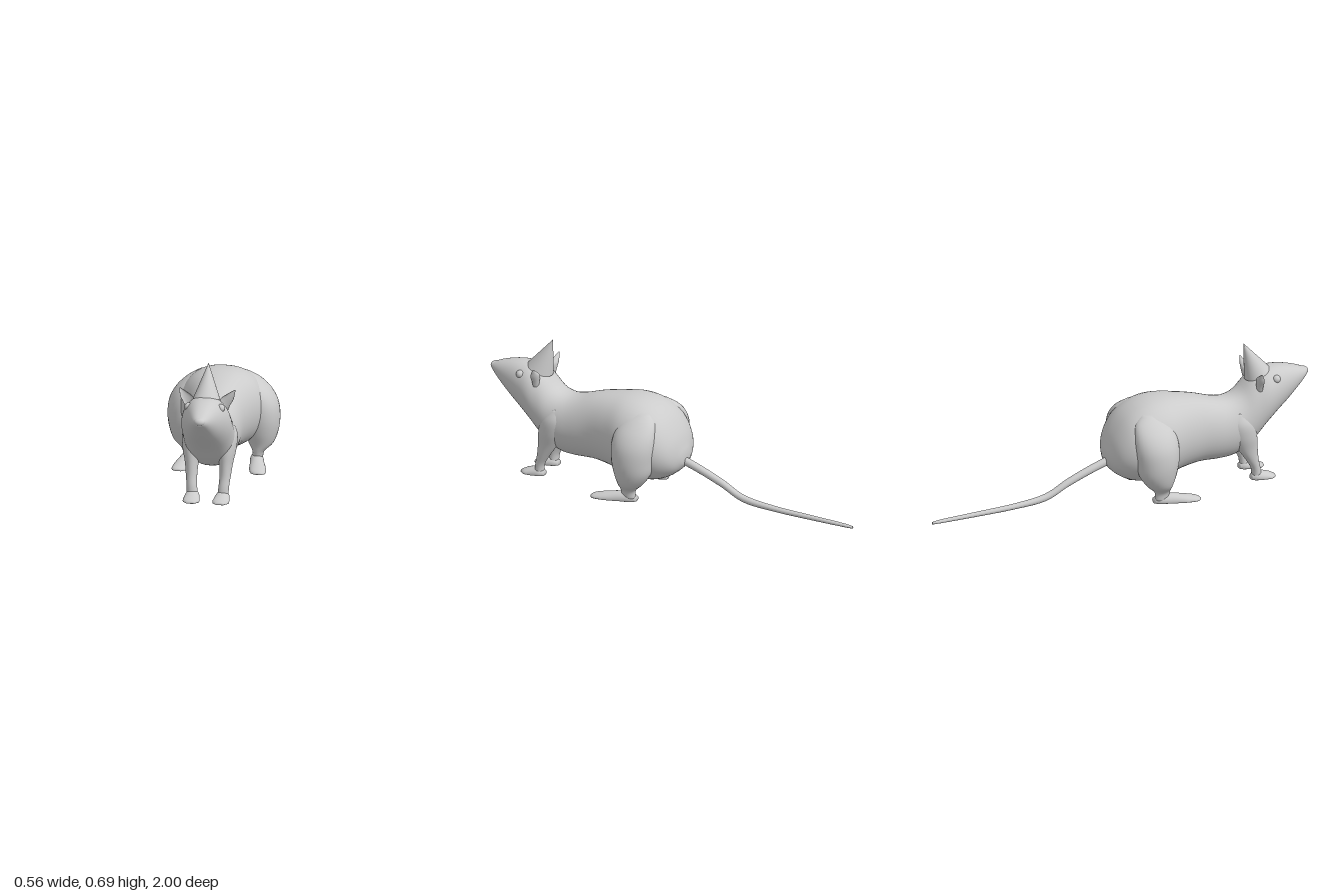
import * as THREE from 'three';

const material = new THREE.MeshStandardMaterial({ color: 0xcccccc, side: THREE.DoubleSide });

const round = (c, s) => [c, s];
const squarish = (c, s) => [Math.sign(c) * Math.abs(c) ** 0.85, s];
// closed back, hollow front
const cupped = (c, s) => [c, s > 0 ? s : -0.45 * s];

// Smooth skin over rows of [x, y, z, halfWidth, halfDepth].
// axis 'z': rings lie in xy and rows run toward +z; axis 'y': rings lie in xz and rows run upward.
function loft(rows, { axis = 'z', steps = 40, sides = 28, shape = round, floor = false } = {}) {
  const centres = new THREE.CatmullRomCurve3(rows.map(r => new THREE.Vector3(r[0], r[1], r[2])), false, 'catmullrom');
  const radii = new THREE.CatmullRomCurve3(rows.map(r => new THREE.Vector3(r[3], r[4], 0)), false, 'catmullrom');
  const positions = [], index = [];
  for (let i = -1; i <= steps + 1; i++) {
    const t = Math.min(Math.max(i / steps, 0), 1);
    const p = centres.getPoint(t), r = radii.getPoint(t);
    const k = i < 0 || i > steps ? 0 : 1; // end rings close to a point
    for (let j = 0; j < sides; j++) {
      const a = (j / sides) * Math.PI * 2;
      const [c, s] = shape(Math.cos(a), Math.sin(a));
      const u = c * Math.max(r.x, 0) * k, v = s * Math.max(r.y, 0) * k;
      const y = axis === 'z' ? p.y + v : p.y;
      positions.push(p.x + u, floor ? Math.max(y, 0) : y, axis === 'z' ? p.z : p.z - v);
    }
  }
  for (let i = 0; i < steps + 2; i++) {
    for (let j = 0; j < sides; j++) {
      const a = i * sides + j, b = i * sides + (j + 1) % sides;
      index.push(a, b, b + sides, a, b + sides, a + sides);
    }
  }
  const geometry = new THREE.BufferGeometry();
  geometry.setAttribute('position', new THREE.Float32BufferAttribute(positions, 3));
  geometry.setIndex(index);
  geometry.computeVertexNormals();
  return geometry;
}

export function createModel() {
  const model = new THREE.Group();
  model.name = 'rodentWithPartyHat';
  const add = (name, geometry) => {
    const mesh = new THREE.Mesh(geometry, material);
    mesh.name = name;
    model.add(mesh);
    return mesh;
  };

  // Body and head: [z, top, bottom, halfWidth]
  const profile = [
    [-0.08, 0.24, 0.18, 0.04], [-0.05, 0.33, 0.14, 0.13], [0, 0.41, 0.105, 0.185],
    [0.06, 0.46, 0.085, 0.21], [0.13, 0.488, 0.078, 0.215], [0.21, 0.495, 0.09, 0.205],
    [0.3, 0.485, 0.11, 0.17], [0.4, 0.465, 0.122, 0.142], [0.5, 0.435, 0.12, 0.133],
    [0.57, 0.43, 0.125, 0.13], [0.63, 0.455, 0.15, 0.127], [0.69, 0.515, 0.195, 0.125],
    [0.75, 0.55, 0.26, 0.122], [0.81, 0.556, 0.315, 0.105], [0.87, 0.55, 0.365, 0.083],
    [0.93, 0.535, 0.42, 0.058], [0.97, 0.52, 0.46, 0.037], [0.99, 0.512, 0.48, 0.02],
  ];
  add('body', loft(profile.map(([z, top, bottom, w]) => [0, (top + bottom) / 2, z, w, (top - bottom) / 2]),
    { steps: 76, sides: 40, shape: squarish }));

  // Nose tip
  const nose = add('nose', new THREE.SphereGeometry(1, 20, 14));
  nose.scale.set(0.028, 0.02, 0.022);
  nose.position.set(0, 0.498, 0.978);

  // Tail, from tip to rump
  add('tail', loft([
    [0, 0.014, -1, 0.006, 0.006], [0, 0.017, -0.95, 0.011, 0.009], [0, 0.022, -0.78, 0.013, 0.012],
    [0, 0.03, -0.57, 0.016, 0.014], [0, 0.05, -0.4, 0.018, 0.018], [0, 0.108, -0.28, 0.019, 0.02],
    [0, 0.158, -0.16, 0.02, 0.021], [0, 0.2, -0.04, 0.02, 0.022],
  ], { steps: 42, sides: 16 }));

  for (const [side, s] of [['left', 1], ['right', -1]]) {
    const place = rows => rows.map(([x, ...rest]) => [x * s, ...rest]);

    // Haunch running down into the hind ankle
    add(side + 'HindLeg', loft(place([
      [0.17, 0.015, 0.148, 0.025, 0.035], [0.175, 0.06, 0.15, 0.03, 0.04], [0.185, 0.1, 0.133, 0.062, 0.065],
      [0.185, 0.16, 0.122, 0.085, 0.095], [0.185, 0.23, 0.122, 0.093, 0.108], [0.18, 0.3, 0.12, 0.09, 0.112],
      [0.163, 0.36, 0.118, 0.077, 0.105], [0.13, 0.41, 0.115, 0.06, 0.085], [0.1, 0.45, 0.115, 0.03, 0.04],
    ]), { axis: 'y' }));
    add(side + 'HindFoot', loft(place([
      [0.162, 0.012, 0.11, 0.018, 0.014], [0.165, 0.012, 0.14, 0.032, 0.03], [0.175, 0.008, 0.2, 0.036, 0.034],
      [0.187, 0.004, 0.27, 0.042, 0.026], [0.195, 0.003, 0.32, 0.036, 0.016], [0.198, 0.003, 0.34, 0.016, 0.007],
    ]), { steps: 24, floor: true }));

    // Front leg and paw
    add(side + 'FrontLeg', loft(place([
      [0.075, 0.012, 0.695, 0.028, 0.024], [0.079, 0.06, 0.688, 0.026, 0.024], [0.083, 0.11, 0.668, 0.028, 0.033],
      [0.085, 0.17, 0.645, 0.034, 0.05], [0.088, 0.24, 0.625, 0.045, 0.065], [0.088, 0.31, 0.61, 0.047, 0.065],
      [0.08, 0.37, 0.6, 0.03, 0.04],
    ]), { axis: 'y', steps: 32 }));
    add(side + 'FrontPaw', loft(place([
      [0.075, 0.01, 0.665, 0.018, 0.014], [0.075, 0.01, 0.69, 0.033, 0.03], [0.074, 0.006, 0.73, 0.039, 0.028],
      [0.073, 0.004, 0.765, 0.04, 0.018], [0.072, 0.003, 0.79, 0.02, 0.007],
    ]), { steps: 20, floor: true }));

    // Cupped, pointed ear
    add(side + 'Ear', loft(place([
      [0.085, 0.46, 0.715, 0.016, 0.02], [0.09, 0.495, 0.715, 0.024, 0.026], [0.099, 0.527, 0.715, 0.032, 0.03],
      [0.116, 0.549, 0.71, 0.02, 0.022], [0.136, 0.57, 0.7, 0.003, 0.004],
    ]), { axis: 'y', steps: 20, shape: (c, v) => { const [a, b] = cupped(c, v); return [a, b]; } }));

    // Eye bump
    const eye = add(side + 'Eye', new THREE.SphereGeometry(0.02, 18, 12));
    eye.position.set(s * 0.08, 0.51, 0.8);
  }

  // Cone hat, leaning back on the head
  const hat = add('partyHat', new THREE.ConeGeometry(0.068, 0.18, 40, 8));
  hat.position.set(0, 0.609, 0.694);
  hat.rotation.x = -0.4;

  return model;
}
